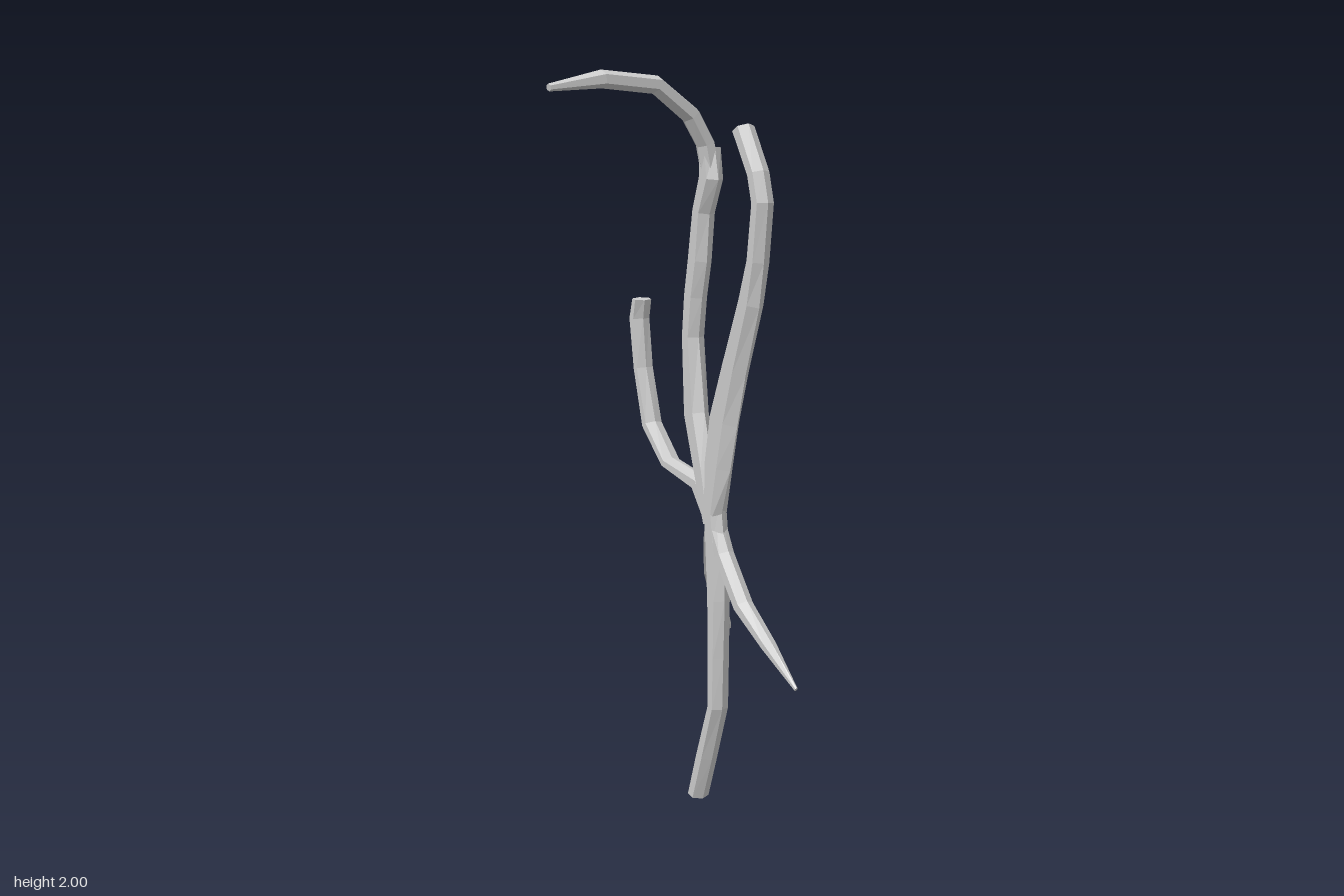
import * as THREE from 'three';

const material = new THREE.MeshStandardMaterial({
  color: 0xcccccc, flatShading: true, side: THREE.DoubleSide,
});

// Six-sided section: [along the bend plane, across it]
const SECTION = [[1, 0], [0.5, 1], [-0.5, 1], [-1, 0], [-0.5, -1], [0.5, -1]];

// Sweeps the section along stations [x, y, z, halfWidth, halfDepth];
// "across" is the normal of the plane in which the branch bends.
function branch(name, across, stations) {
  const points = stations.map(([x, y, z]) => new THREE.Vector3(x, y, z));
  const sides = SECTION.length, last = points.length - 1;
  const pos = [], index = [];

  stations.forEach(([, , , w, d], k) => {
    const t = new THREE.Vector3();
    if (k > 0) t.add(points[k].clone().sub(points[k - 1]).normalize());
    if (k < last) t.add(points[k + 1].clone().sub(points[k]).normalize());
    t.normalize();
    const b = across.clone().addScaledVector(t, -across.dot(t)).normalize();
    const n = b.clone().cross(t);
    for (const [u, v] of SECTION) {
      const p = points[k].clone().addScaledVector(n, u * w).addScaledVector(b, v * d);
      pos.push(p.x, p.y, p.z);
    }
  });

  for (let k = 0; k < last; k++) {
    for (let i = 0; i < sides; i++) {
      const a = k * sides + i, c = k * sides + (i + 1) % sides;
      index.push(a, c, c + sides, a, c + sides, a + sides);
    }
  }
  // End caps
  const e = last * sides;
  for (let i = 1; i < sides - 1; i++) index.push(0, i + 1, i, e, e + i, e + i + 1);

  const indexed = new THREE.BufferGeometry();
  indexed.setAttribute('position', new THREE.Float32BufferAttribute(pos, 3));
  indexed.setIndex(index);
  const geometry = indexed.toNonIndexed();
  geometry.computeVertexNormals();
  const mesh = new THREE.Mesh(geometry, material);
  mesh.name = name;
  return mesh;
}

// Branch lying in the trunk's upright plane, from stations [y, z, halfWidth, halfDepth]
const TRUNK_X = 0.137;
function planarBranch(name, stations) {
  return branch(name, new THREE.Vector3(1, 0, 0),
    stations.map(([y, z, w, d = 0.027]) => [TRUNK_X, y, z, w, d]));
}

export function createModel() {
  const model = new THREE.Group();
  model.name = 'branchingTwig';

  model.add(
    // Lower stem
    planarBranch('stem', [
      [0.008, -0.067, 0.024], [0.13, -0.025, 0.026], [0.28, 0.028, 0.022],
      [0.42, 0.03, 0.024], [0.58, 0.03, 0.03], [0.74, 0.022, 0.034], [0.86, 0.008, 0.03],
    ]),
    // Front upper branch, widened where the fork is webbed
    planarBranch('frontUpperBranch', [
      [0.79, 0.01, 0.024], [0.95, 0.028, 0.056], [1.08, 0.055, 0.062], [1.22, 0.105, 0.05],
      [1.4, 0.175, 0.04], [1.51, 0.206, 0.027], [1.66, 0.225, 0.025],
      [1.735, 0.205, 0.025], [1.85, 0.137, 0.027],
    ]),
    // Rear upper branch
    planarBranch('rearUpperBranch', [
      [0.79, 0.005, 0.022], [0.93, -0.035, 0.035], [1.08, -0.08, 0.041], [1.29, -0.097, 0.028],
      [1.4, -0.085, 0.032], [1.5, -0.065, 0.035], [1.63, -0.047, 0.029],
      [1.72, -0.012, 0.036], [1.8, -0.018, 0.024],
    ]),
    // Curved branch reaching backwards
    planarBranch('backBranch', [
      [0.79, 0.01, 0.022, 0.024], [0.89, -0.055, 0.026], [0.928, -0.21, 0.017],
      [1.025, -0.305, 0.02], [1.18, -0.35, 0.016], [1.32, -0.37, 0.02], [1.375, -0.357, 0.015],
    ]),
    // Tapering root pointing forwards
    planarBranch('frontRoot', [
      [0.83, -0.005, 0.02], [0.71, 0.056, 0.024, 0.025], [0.585, 0.148, 0.024, 0.025],
      [0.5, 0.265, 0.016, 0.02], [0.408, 0.388, 0.006, 0.004],
    ]),
    // Root reaching out to the left and rear
    branch('sideRoot', new THREE.Vector3(0.77, 0, 0.64), [
      [0.137, 0.83, 0.01, 0.022, 0.022], [0.165, 0.735, -0.045, 0.026, 0.022],
      [0.212, 0.63, -0.115, 0.026, 0.02], [0.262, 0.56, -0.168, 0.022, 0.018],
      [0.335, 0.432, -0.23, 0.018, 0.02],
    ]),
    // Drooping tip on top of the rear branch
    branch('hookedTip', new THREE.Vector3(0, 0, 1), [
      [0.137, 1.74, -0.018, 0.026, 0.026], [0.122, 1.81, -0.018, 0.026, 0.026],
      [0.075, 1.885, -0.018, 0.026, 0.028], [-0.035, 1.963, -0.018, 0.025, 0.028],
      [-0.2, 1.976, -0.018, 0.024, 0.028], [-0.354, 1.953, -0.02, 0.01, 0.011],
    ]),
  );
  return model;
}
